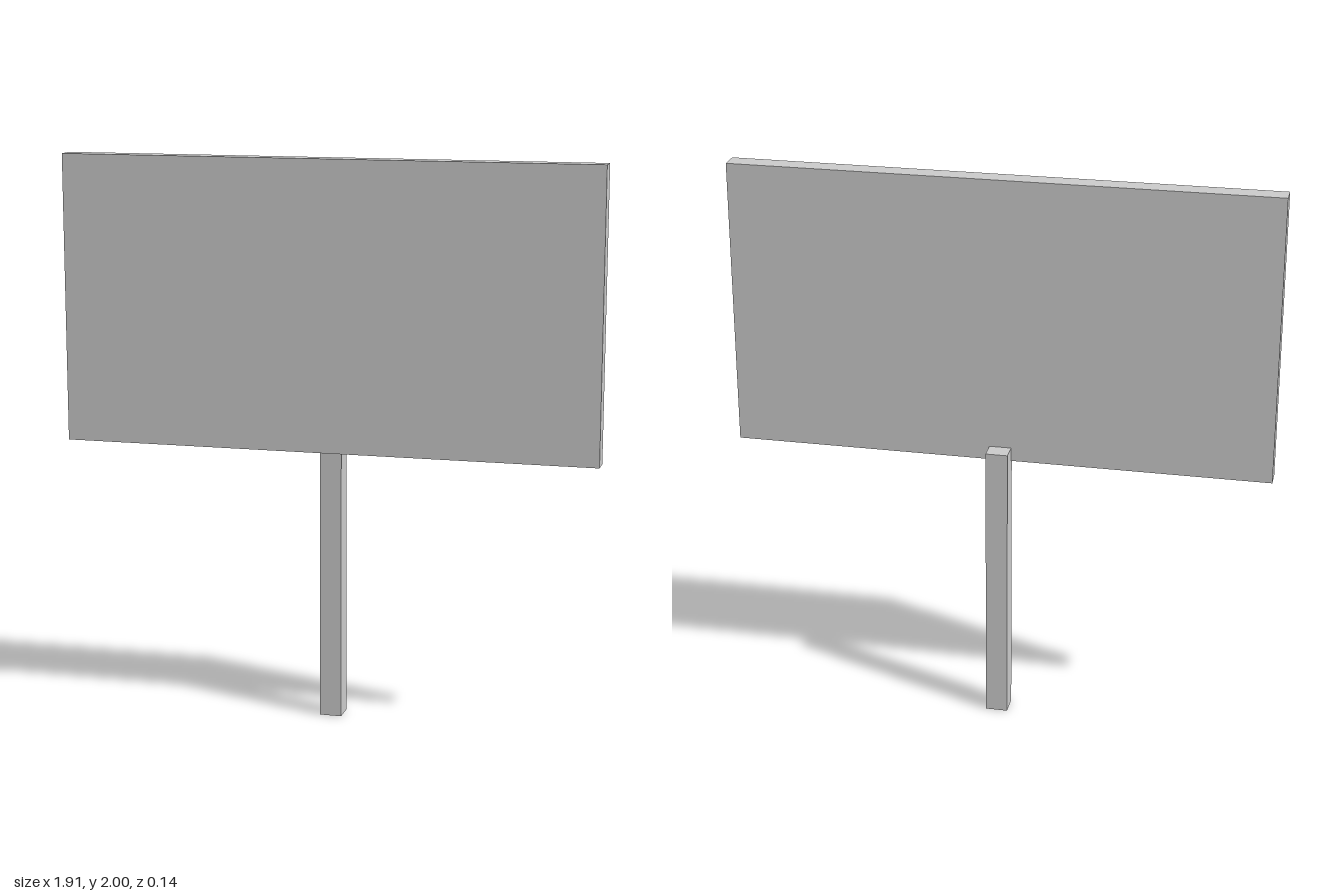
import * as THREE from 'three';

export function createModel() {
  const group = new THREE.Group();
  const material = new THREE.MeshStandardMaterial({ color: 0xcccccc, flatShading: true });

  // Box given by its lower and upper corners
  const addBox = (name, min, max) => {
    const size = max.map((v, i) => v - min[i]);
    const mesh = new THREE.Mesh(new THREE.BoxGeometry(...size), material);
    mesh.position.set(...max.map((v, i) => (v + min[i]) / 2));
    mesh.name = name;
    group.add(mesh);
  };

  // Wide sign board
  addBox('signBoard', [-0.955, 0.978, -0.002], [0.955, 2, 0.069]);
  // Square post, overlapping the lower back of the board
  addBox('post', [-0.039, 0, -0.069], [0.039, 1.027, 0.009]);

  return group;
}
